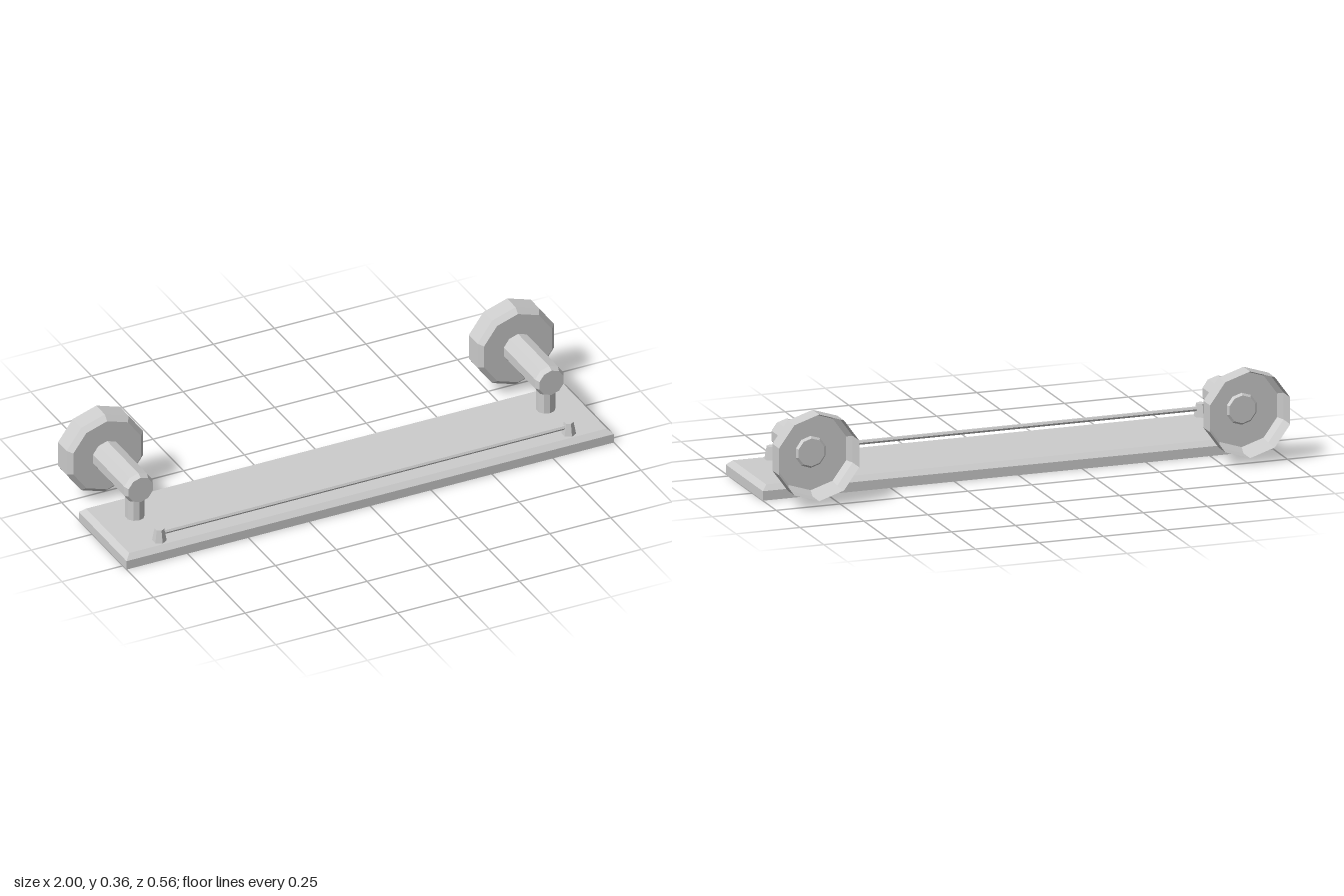
import * as THREE from 'three';

const grey = new THREE.MeshStandardMaterial({ color: 0xcccccc, side: THREE.DoubleSide });
grey.name = 'satin grey';

// Faceted mesh: split the faces and give each its own normal
function part(name, geometry) {
  const geo = geometry.index ? geometry.toNonIndexed() : geometry;
  geo.computeVertexNormals();
  const mesh = new THREE.Mesh(geo, grey);
  mesh.name = name;
  return mesh;
}

// Turned part with its axis along z; profile is a list of [radius, z]
function turned(name, profile, sides) {
  const points = profile.map(([r, z]) => new THREE.Vector2(r, z));
  return part(name, new THREE.LatheGeometry(points, sides).rotateX(Math.PI / 2));
}

// Slab with a chamfered top edge
function shelfBoard() {
  const geo = new THREE.BoxGeometry(2, 0.055, 0.39, 1, 2, 1);
  const pos = geo.attributes.position;
  for (let i = 0; i < pos.count; i++) {
    const y = pos.getY(i);
    if (y > 0.01) {
      pos.setX(i, Math.sign(pos.getX(i)) * 0.98);
      pos.setZ(i, Math.sign(pos.getZ(i)) * 0.176);
    }
    pos.setY(i, y < -0.01 ? 0 : y > 0.01 ? 0.055 : 0.036);
  }
  geo.translate(0, 0, 0.085);
  return part('shelfBoard', geo);
}

// Wall flange, arm and the post that carries the shelf
function bracket(side) {
  const group = new THREE.Group();
  group.name = side > 0 ? 'leftBracket' : 'rightBracket';

  // flange is a cup, open towards the wall
  const flange = turned('wallFlange', [[0.165, -0.28], [0.165, -0.21], [0.146, -0.191], [0, -0.191]], 10);
  const arm = turned('arm', [[0, -0.2], [0.053, -0.2], [0.061, -0.191], [0.061, 0.063], [0.052, 0.083], [0, 0.083]], 10);
  flange.position.y = arm.position.y = 0.192;

  const post = part('post', new THREE.CylinderGeometry(0.036, 0.036, 0.11, 10));
  post.position.set(0, 0.105, 0.035);

  group.add(flange, arm, post);
  group.position.x = side * 0.843;
  return group;
}

export function createModel() {
  const model = new THREE.Group();
  model.name = 'wallShelf';
  model.add(shelfBoard());

  for (const side of [-1, 1]) {
    model.add(bracket(side));
    // tapered peg holding the guard rail
    const peg = part(side > 0 ? 'leftPeg' : 'rightPeg', new THREE.CylinderGeometry(0.018, 0.027, 0.05, 6));
    peg.position.set(side * 0.84, 0.08, 0.229);
    model.add(peg);
  }

  // thin guard rail along the front
  const rail = part('guardRail', new THREE.CylinderGeometry(0.009, 0.009, 1.68, 6).rotateZ(Math.PI / 2));
  rail.position.set(0, 0.085, 0.227);
  model.add(rail);
  return model;
}
